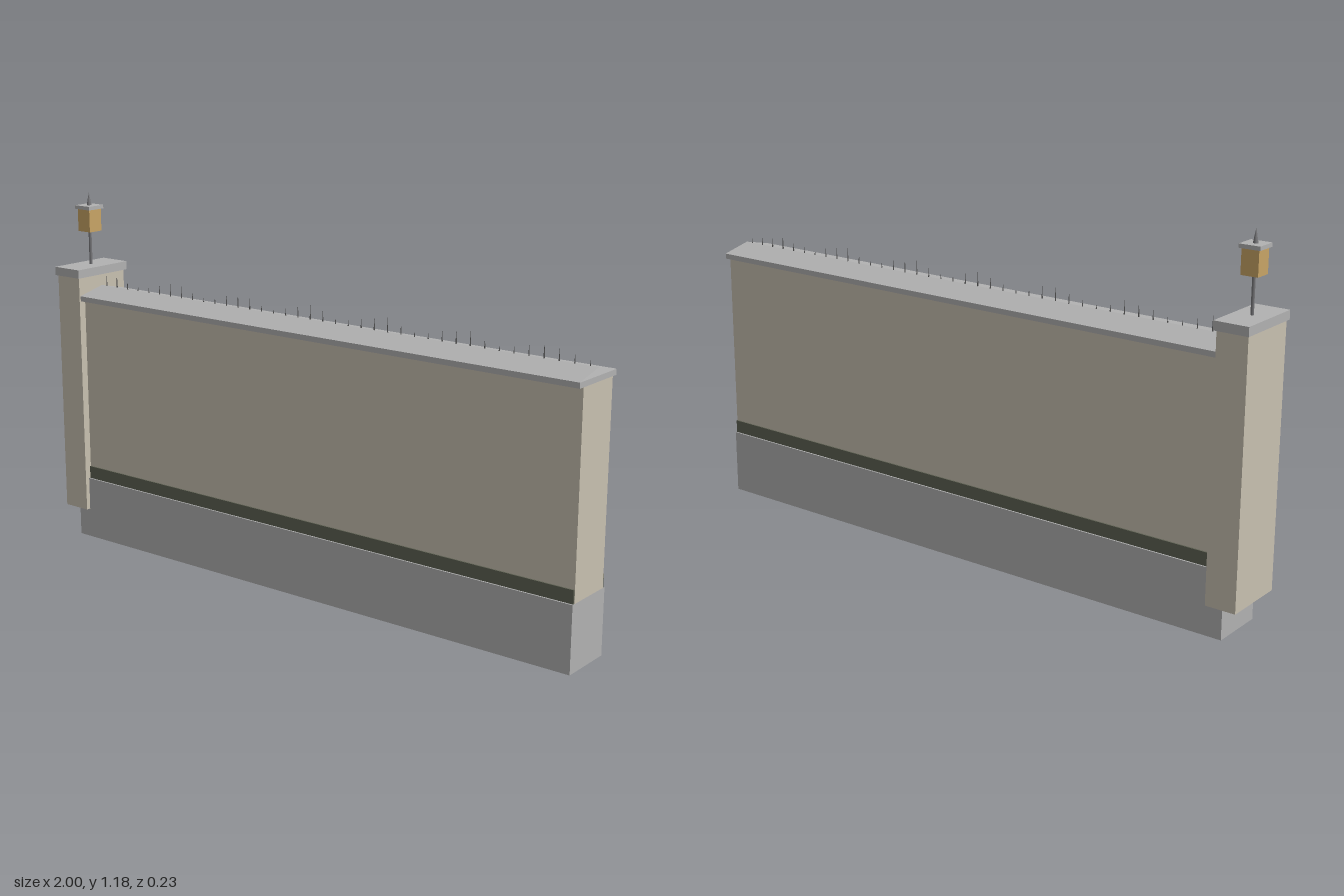
import * as THREE from 'three';

const mat = (name, color) => {
  const m = new THREE.MeshStandardMaterial({ color });
  m.name = name;
  return m;
};

export function createModel() {
  const model = new THREE.Group();
  model.name = 'boundaryWall';

  const plaster = mat('plaster', 0xc9c1b1);
  const stone = mat('stone', 0xb2b2b2);
  const roofStone = mat('roofStone', 0xb2b2b2);
  roofStone.side = THREE.DoubleSide;
  const moss = mat('moss', 0x5e6153);
  const iron = mat('iron', 0x77777a);
  const spikeIron = mat('spikeIron', 0x555555);
  const amber = mat('amberGlass', 0xc9a566);

  const add = (name, geometry, material, parent = model) => {
    const mesh = new THREE.Mesh(geometry, material);
    mesh.name = name;
    parent.add(mesh);
    return mesh;
  };
  // Box given by its extents, symmetric in z
  const block = (name, x0, x1, y0, y1, halfZ, material, parent) => {
    const mesh = add(name, new THREE.BoxGeometry(x1 - x0, y1 - y0, halfZ * 2), material, parent);
    mesh.position.set((x0 + x1) / 2, (y0 + y1) / 2, 0);
    return mesh;
  };

  // Wall and plinth
  block('plinth', -0.945, 1, 0, 0.21, 0.09, stone);
  block('wallBody', -0.945, 1, 0.21, 0.83, 0.08, plaster);

  // Mossy band on both faces
  for (const side of [1, -1]) {
    const band = add('mossBand', new THREE.BoxGeometry(1.895, 0.042, 0.005), moss);
    band.position.set(0.0515, 0.231, side * 0.0825);
  }

  // Coping slab with a ridged, open-ended roof
  block('copingSlab', -0.9, 1, 0.83, 0.847, 0.1, stone);
  const rise = 0.023, run = 0.1;
  for (const side of [1, -1]) {
    const g = new THREE.PlaneGeometry(1.9, Math.hypot(rise, run));
    g.rotateX(-Math.PI / 2 + Math.atan2(rise, run));
    if (side < 0) g.rotateY(Math.PI);
    add('copingSlope', g, roofStone).position.set(0.05, 0.8475 + rise / 2, side * run / 2);
  }

  // Row of spikes along the ridge, rising and falling in waves
  const spikes = new THREE.Group();
  spikes.name = 'ridgeSpikes';
  model.add(spikes);
  for (let i = 0; i < 39; i++) {
    const top = 0.902 + 0.016 * Math.cos(((i - 0.5) * Math.PI * 2) / 5.78);
    const h = top - 0.865;
    const spike = add('spike', new THREE.ConeGeometry(0.0025, h, 5), spikeIron, spikes);
    spike.position.set(-0.873 + i * 0.0486, 0.865 + h / 2, 0);
  }

  // Gate pillar
  block('pillar', -0.995, -0.897, 0.1, 0.91, 0.105, plaster);
  block('pillarCap', -1, -0.89, 0.909, 0.937, 0.113, stone);

  // Lantern on its post
  const lantern = new THREE.Group();
  lantern.name = 'lantern';
  lantern.position.x = -0.945;
  model.add(lantern);
  add('lanternPost', new THREE.CylinderGeometry(0.005, 0.005, 0.115, 8), iron, lantern).position.y = 0.9935;
  block('lanternGlass', -0.027, 0.027, 1.05, 1.126, 0.027, amber, lantern);
  block('lanternCap', -0.033, 0.033, 1.125, 1.137, 0.033, stone, lantern);
  add('lanternFinial', new THREE.ConeGeometry(0.008, 0.042, 8), iron, lantern).position.y = 1.158;

  return model;
}
